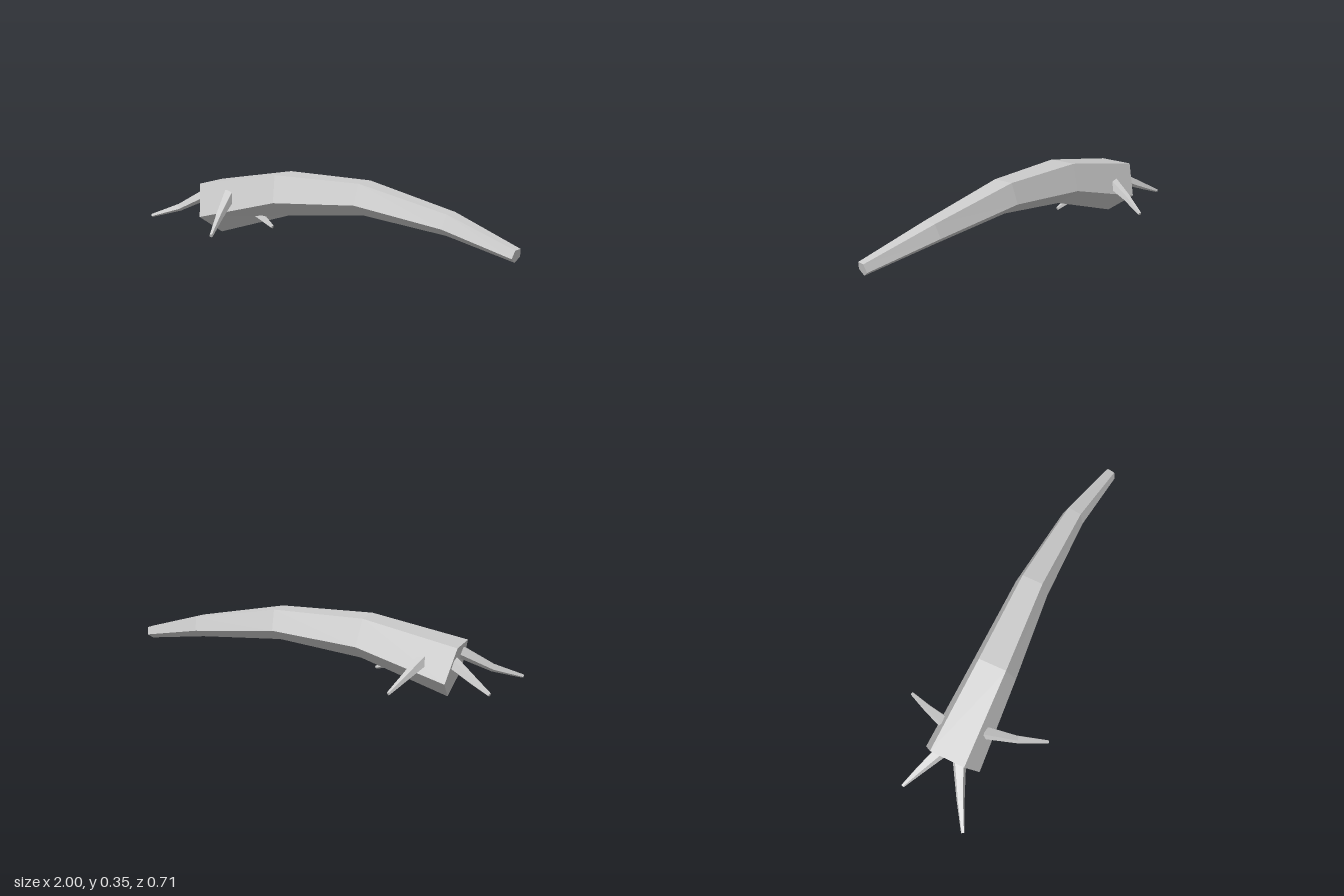
import * as THREE from 'three';

const SIDES = 5;
const material = new THREE.MeshStandardMaterial({ color: 0xcccccc, flatShading: true });

// Closed five-sided tube through stations [x, y, z, radius], one corner pointing down
function taperedTube(name, stations) {
  const centres = stations.map(([x, y, z]) => new THREE.Vector3(x, y, z));
  const last = centres.length - 1;
  const rings = centres.map((c, i) => {
    const along = centres[Math.min(i + 1, last)].clone().sub(centres[Math.max(i - 1, 0)]).normalize();
    const side = along.clone().cross(new THREE.Vector3(0, 1, 0)).normalize();
    const up = side.clone().cross(along);
    const radius = stations[i][3];
    return Array.from({ length: SIDES }, (_, j) => {
      const a = -Math.PI / 2 + (j / SIDES) * Math.PI * 2;
      return c.clone().addScaledVector(side, Math.cos(a) * radius).addScaledVector(up, Math.sin(a) * radius);
    });
  });

  const corners = [];
  for (let j = 0; j < SIDES; j++) {
    const k = (j + 1) % SIDES;
    for (let i = 0; i < last; i++) {
      const a = rings[i], b = rings[i + 1];
      corners.push(a[j], b[j], a[k], a[k], b[j], b[k]);
    }
    // end caps
    corners.push(centres[0], rings[0][j], rings[0][k]);
    corners.push(centres[last], rings[last][k], rings[last][j]);
  }
  const geometry = new THREE.BufferGeometry().setFromPoints(corners);
  geometry.computeVertexNormals();
  const mesh = new THREE.Mesh(geometry, material);
  mesh.name = name;
  return mesh;
}

export function createModel() {
  const model = new THREE.Group();
  model.name = 'fallenTrunk';

  // Arched trunk, thick at the root end and thin at the tip
  model.add(taperedTube('trunk', [
    [-0.695, 0.145, -0.067, 0.149],
    [-0.245, 0.256, 0.008, 0.118],
    [0.2, 0.279, 0.066, 0.089],
    [0.65, 0.213, 0.156, 0.06],
    [0.985, 0.13, 0.27, 0.034],
  ]));

  // Roots spreading from the thick end: start, middle and tip
  const roots = [
    [[-0.69, 0.222, -0.025], [-0.86, 0.13, 0.03], [-0.997, 0.084, 0.082]],
    [[-0.68, 0.185, -0.12], [-0.79, 0.125, -0.2], [-0.868, 0.084, -0.254]],
    [[-0.55, 0.19, -0.13], [-0.49, 0.137, -0.25], [-0.43, 0.084, -0.352]],
    [[-0.545, 0.225, 0.04], [-0.515, 0.142, 0.2], [-0.472, 0.084, 0.345]],
    [[-0.5, 0.17, -0.025], [-0.38, 0.123, 0.02], [-0.295, 0.084, 0.055]],
  ];
  const radii = [0.034, 0.02, 0.009];
  roots.forEach((path, n) => {
    model.add(taperedTube(`root${n + 1}`, path.map((p, i) => [...p, radii[i]])));
  });

  return model;
}
